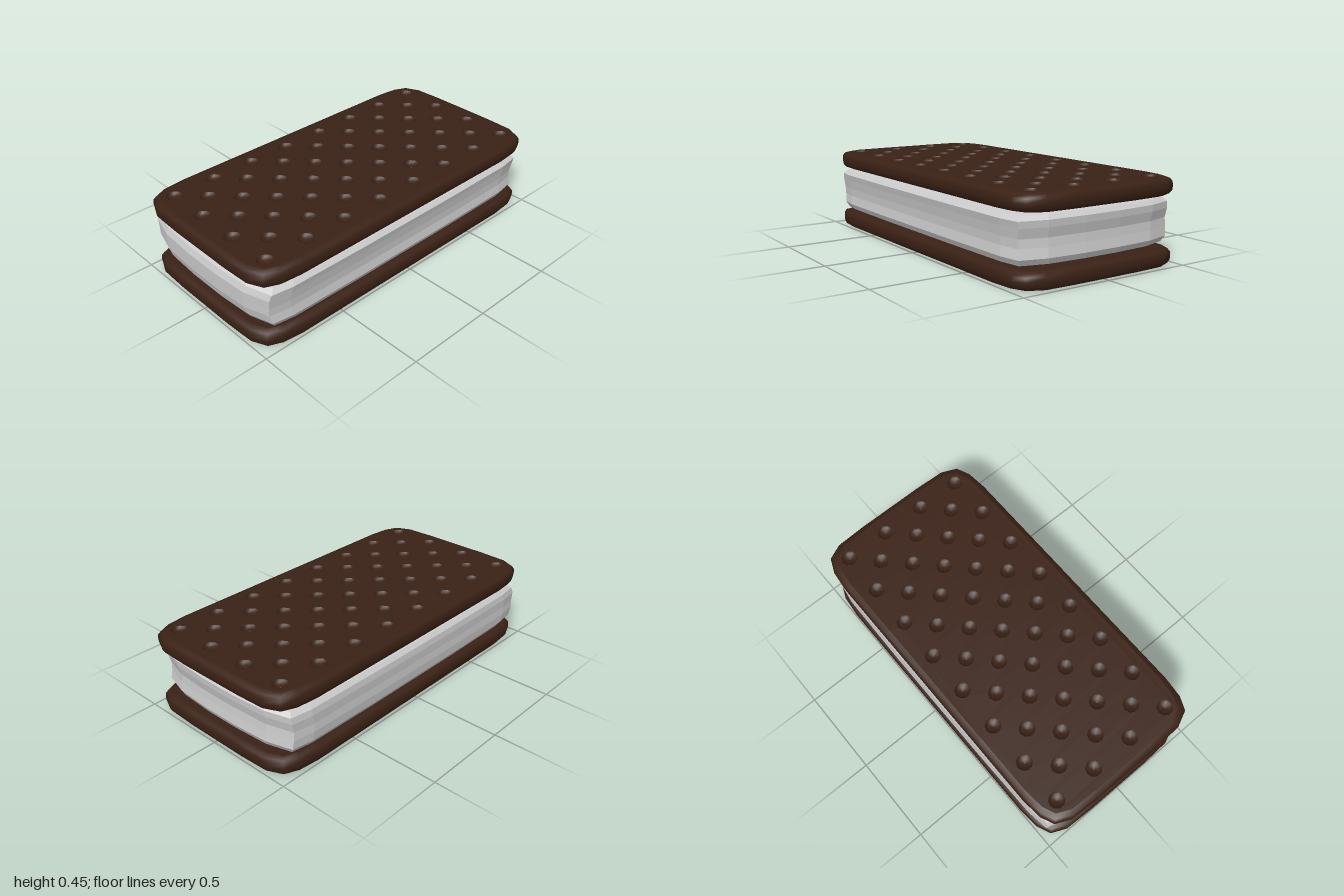
import * as THREE from 'three';
import { mergeGeometries } from 'three/addons/utils/BufferGeometryUtils.js';

const waferMaterial = new THREE.MeshStandardMaterial({ color: 0x3a2115 });
const fillingMaterial = new THREE.MeshStandardMaterial({ color: 0xcccccc, flatShading: true });

// Skin closed rings of [x, y, z], each running anticlockwise seen from above
function loft(rings) {
  const n = rings[0].length, index = [];
  for (let r = 0; r < rings.length - 1; r++) {
    for (let i = 0; i < n; i++) {
      const j = (i + 1) % n, a = r * n, b = a + n;
      index.push(a + i, a + j, b + j, a + i, b + j, b + i);
    }
  }
  const geometry = new THREE.BufferGeometry();
  geometry.setAttribute('position', new THREE.Float32BufferAttribute(rings.flat(2), 3));
  geometry.setIndex(index);
  geometry.computeVertexNormals();
  return geometry;
}

// Mirror one corner (from the +x side to the +y side) into a full outline
function mirrorOutline(corner) {
  const back = [...corner].reverse();
  return [
    ...corner,
    ...back.map(([x, y]) => [-x, y]),
    ...corner.map(([x, y]) => [-x, -y]),
    ...back.map(([x, y]) => [x, -y]),
  ];
}

// Flat horizontal face; facing is 1 for up and -1 for down
function flatFace(ring, y, facing, holes = []) {
  const shape = new THREE.Shape(ring.map(([x, , z]) => new THREE.Vector2(x, -z * facing)));
  shape.holes = holes.map((h) => new THREE.Path(h.map(([x, , z]) => new THREE.Vector2(x, -z * facing))));
  return new THREE.ShapeGeometry(shape).rotateX(-facing * Math.PI / 2).translate(0, y, 0);
}

function addMesh(group, name, geometry, material) {
  const mesh = new THREE.Mesh(geometry, material);
  mesh.name = name;
  group.add(mesh);
}

const THICK = 0.093;

// Staggered grid of dent centres: rows of four alternating with rows of three
function dentCentres() {
  const centres = [];
  for (let row = 0; row < 15; row++) {
    const count = row % 2 ? 3 : 4;
    for (let i = 0; i < count; i++) centres.push([(i - (count - 1) / 2) * 0.25, (row - 7) * 0.125]);
  }
  return centres;
}

function dentRing(cx, cz, radius, y) {
  return Array.from({ length: 10 }, (_, i) => {
    const a = i / 10 * Math.PI * 2;
    return [cx + radius * Math.cos(a), y, cz - radius * Math.sin(a)];
  });
}

// Wafer lying on y = 0 with its dented face upwards
function createWafer(name) {
  const group = new THREE.Group();
  group.name = name;
  const outline = mirrorOutline([[0.5, 0.4], [0.5, 0.76], [0.488, 0.88], [0.455, 0.955], [0.37, 0.993], [0.2, 1]]);
  const profile = [[0.035, 0], [0.012, 0.008], [0.002, 0.024], [0, 0.046], [0.002, 0.069], [0.012, 0.085], [0.035, THICK]];
  const rings = profile.map(([inset, y]) =>
    outline.map(([x, z]) => [x * (1 - inset / 0.5), y, -z * (1 - inset)]));
  addMesh(group, `${name}Edge`, loft(rings), waferMaterial);
  addMesh(group, `${name}InnerFace`, flatFace(rings[0], 0, -1), waferMaterial);

  const centres = dentCentres();
  const holes = centres.map(([x, z]) => dentRing(x, z, 0.044, THICK).reverse());
  addMesh(group, `${name}OuterFace`, flatFace(rings.at(-1), THICK, 1, holes), waferMaterial);

  // Shallow bowls that close the holes
  const bowl = [[0.044, 0], [0.037, 0.01], [0.022, 0.017], [0.0005, 0.02]];
  const dents = centres.map(([x, z]) => loft(bowl.map(([r, d]) => dentRing(x, z, r, THICK - d))));
  addMesh(group, `${name}Dents`, mergeGeometries(dents), waferMaterial);
  return group;
}

// Slightly uneven faceted slab between the wafers
function createFilling() {
  const group = new THREE.Group();
  group.name = 'filling';
  const outline = mirrorOutline([[0.492, 0.35], [0.486, 0.81], [0.468, 0.93], [0.325, 0.972], [0.11, 0.985]]);
  // Height, then the reach towards +x, -x, +z and -z
  const levels = [
    [0.093, 0.77, 0.77, 0.9, 0.88],
    [0.11, 0.95, 0.96, 0.965, 0.955],
    [0.14, 0.98, 1, 0.985, 0.97],
    [0.19, 0.965, 1.01, 1, 0.963],
    [0.235, 0.97, 1.005, 1.002, 0.96],
    [0.285, 0.985, 1.01, 1.004, 0.972],
    [0.32, 1, 1, 0.99, 0.975],
    [0.34, 0.96, 0.96, 0.965, 0.958],
    [0.359, 0.77, 0.77, 0.9, 0.88],
  ];
  const rings = levels.map(([y, right, left, front, back]) =>
    outline.map(([x, z]) => [x * (x > 0 ? right : left), y, -z * (z < 0 ? front : back)]));
  addMesh(group, 'fillingSides', loft(rings), fillingMaterial);
  addMesh(group, 'fillingBottom', flatFace(rings[0], levels[0][0], -1), fillingMaterial);
  addMesh(group, 'fillingTop', flatFace(rings.at(-1), levels.at(-1)[0], 1), fillingMaterial);
  return group;
}

export function createModel() {
  const model = new THREE.Group();
  model.name = 'iceCreamSandwich';

  const top = createWafer('topWafer');
  top.position.y = 0.359;
  // The lower wafer is turned over so its dents face down
  const bottom = createWafer('bottomWafer');
  bottom.rotation.z = Math.PI;
  bottom.position.y = THICK;

  model.add(top, createFilling(), bottom);
  return model;
}
